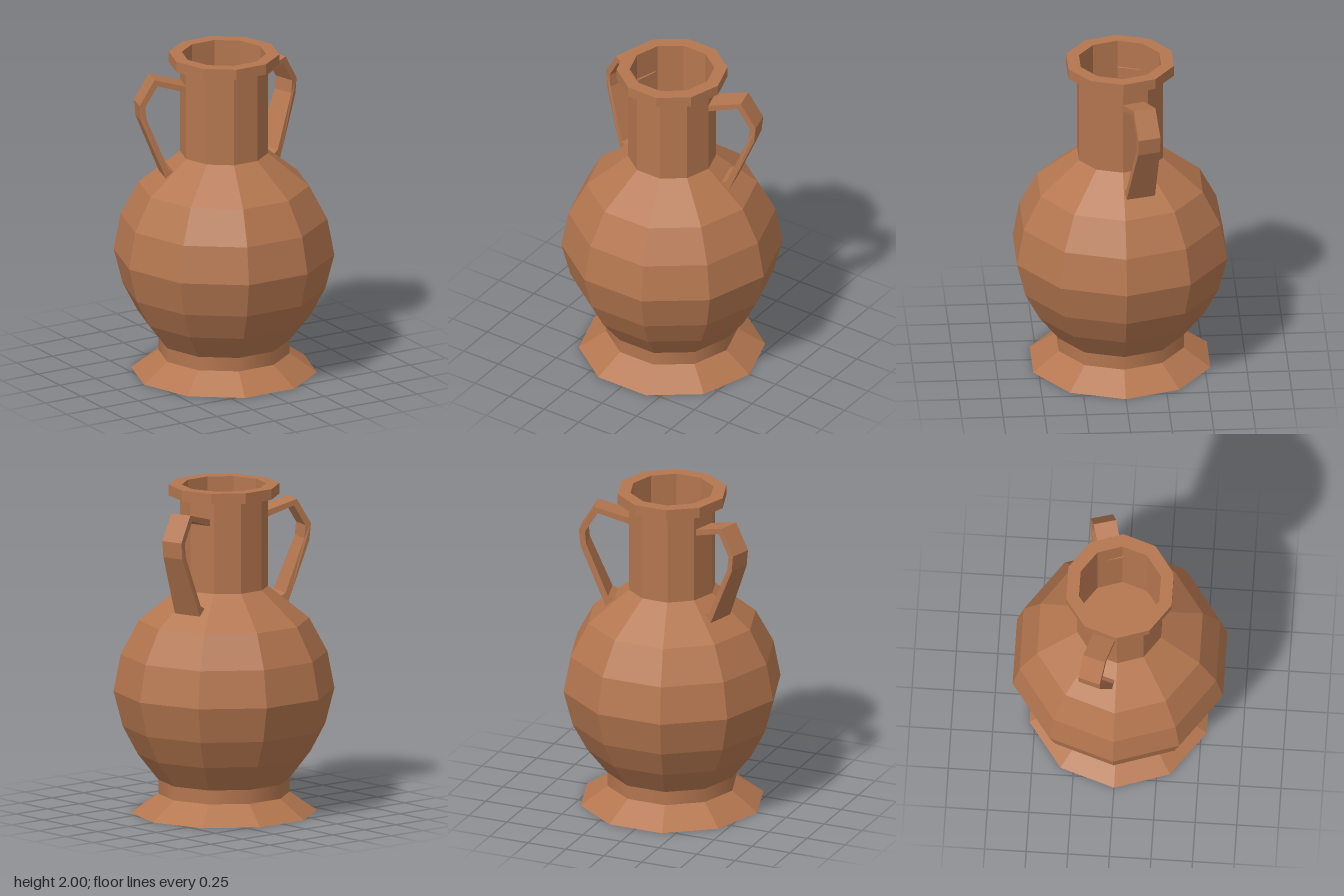
import * as THREE from 'three';

const SIDES = 10;

// Turned part with ten sides; faceted unless smooth is set
function turned(name, profile, material, smooth = false) {
  const points = profile.map(([r, y]) => new THREE.Vector2(r, y));
  let geometry = new THREE.LatheGeometry(points, SIDES, Math.PI / 2);
  if (!smooth) {
    geometry = geometry.toNonIndexed();
    geometry.computeVertexNormals();
  }
  const mesh = new THREE.Mesh(geometry, material);
  mesh.name = name;
  return mesh;
}

// Strap handle: side outline extruded across its width, flaring towards the bottom
function handle(name, angle, reach, material) {
  const outline = [
    [0.24, 1.825], [0.46, 1.885], [0.555, 1.73], [0.545, 1.63], [0.39, 1.26],
    [0.335, 1.3], [0.375, 1.32], [0.51, 1.64], [0.518, 1.72], [0.44, 1.847], [0.24, 1.785],
  ];
  const shape = new THREE.Shape(outline.map(([r, y]) => new THREE.Vector2(r * reach, y)));
  const geometry = new THREE.ExtrudeGeometry(shape, { depth: 1, bevelEnabled: false });
  const pos = geometry.attributes.position;
  for (let i = 0; i < pos.count; i++) {
    const flare = THREE.MathUtils.clamp((1.63 - pos.getY(i)) / 0.37, 0, 1);
    pos.setZ(i, (pos.getZ(i) - 0.5) * (0.138 + 0.042 * flare));
  }
  geometry.computeVertexNormals();
  const mesh = new THREE.Mesh(geometry, material);
  mesh.name = name;
  mesh.rotation.y = angle;
  return mesh;
}

export function createModel() {
  const clay = new THREE.MeshStandardMaterial({ color: 0xb4764f });
  clay.name = 'terracotta';

  const model = new THREE.Group();
  model.name = 'vase';

  model.add(
    // Flared foot and the smooth waist above it
    turned('foot', [[0, 0], [0.56, 0], [0.395, 0.115]], clay),
    turned('waist', [[0.395, 0.115], [0.395, 0.2]], clay, true),
    // Round belly up to the neck
    turned('belly', [
      [0.395, 0.2], [0.52, 0.36], [0.61, 0.53], [0.665, 0.745],
      [0.622, 0.97], [0.513, 1.175], [0.265, 1.375],
    ], clay),
    // Straight neck, square lip and hollow inside
    turned('neck', [[0.265, 1.375], [0.265, 1.935]], clay),
    turned('lip', [[0.265, 1.935], [0.333, 1.935], [0.333, 2], [0.254, 2]], clay),
    turned('inside', [[0.254, 2], [0.254, 1.38], [0, 1.38]], clay),
  );

  // Handles, both set slightly towards the back
  const tilt = THREE.MathUtils.degToRad(15);
  model.add(
    handle('leftHandle', tilt, 1, clay),
    handle('rightHandle', Math.PI - tilt * 1.1, 0.975, clay),
  );
  return model;
}
